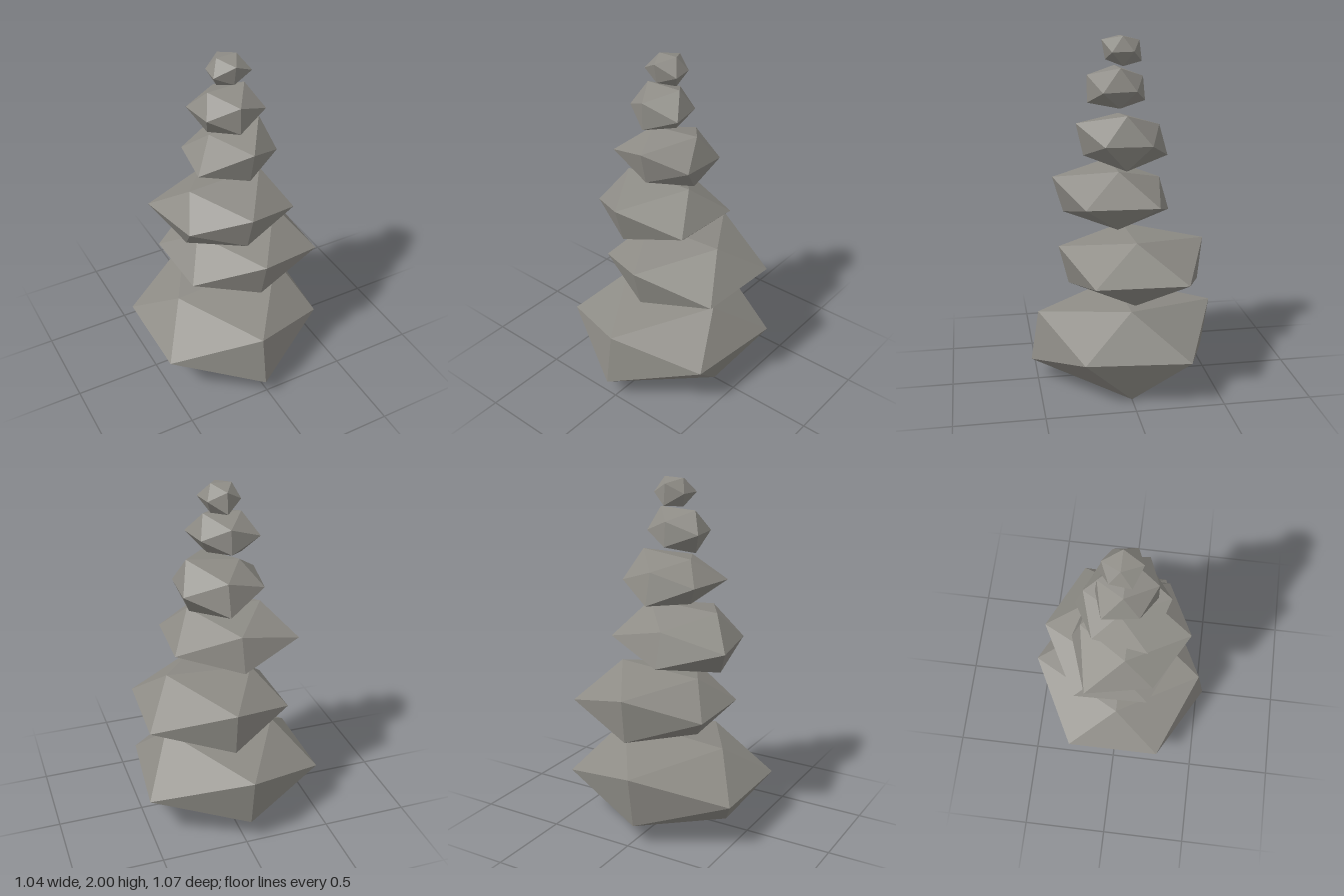
import * as THREE from 'three';

// Icosahedron corner directions and faces
const T = (1 + Math.sqrt(5)) / 2;
const CORNERS = [
  [-1, T, 0], [1, T, 0], [-1, -T, 0], [1, -T, 0],
  [0, -1, T], [0, 1, T], [0, -1, -T], [0, 1, -T],
  [T, 0, -1], [T, 0, 1], [-T, 0, -1], [-T, 0, 1],
].map((c) => new THREE.Vector3(...c).normalize());
const FACES = [
  0, 11, 5, 0, 5, 1, 0, 1, 7, 0, 7, 10, 0, 10, 11,
  1, 5, 9, 5, 11, 4, 11, 10, 2, 10, 7, 6, 7, 1, 8,
  3, 9, 4, 3, 4, 2, 3, 2, 6, 3, 6, 8, 3, 8, 9,
  4, 9, 5, 2, 4, 11, 6, 2, 10, 8, 6, 7, 9, 8, 1,
];

// Stones from bottom to top: centre, radii, and how far each corner is pushed in or out
const STONES = [
  { at: [-0.03, 0.27, 0], radii: [0.595, 0.255, 0.54],
    push: [0.96, 1.16, 1.06, 1.24, 1.165, 1.065, 1.065, 1.165, 1.08, 0.965, 0.97, 0.97] },
  { at: [0.05, 0.715, -0.03], radii: [0.5, 0.225, 0.47],
    push: [0.88, 1.05, 0.88, 0.915, 0.865, 1, 1.025, 1.09, 1.05, 1, 0.895, 0.87] },
  { at: [-0.055, 1.1, 0.045], radii: [0.4, 0.195, 0.37],
    push: [0.97, 1.1, 1.1, 0.95, 0.905, 1.095, 1.05, 0.87, 1.07, 1.01, 1.07, 0.85] },
  { at: [0.02, 1.43, 0], radii: [0.29, 0.168, 0.275],
    push: [0.88, 1.12, 0.88, 1.03, 0.94, 1.11, 1.11, 0.9, 0.92, 0.875, 0.95, 1.14] },
  { at: [-0.025, 1.71, 0.02], radii: [0.2, 0.135, 0.185],
    push: [1, 1.07, 1.04, 0.87, 1.08, 1.08, 1, 0.92, 0.88, 1.09, 1.06, 0.91] },
  { at: [-0.01, 1.92, 0], radii: [0.12, 0.1, 0.115],
    push: [0.9, 0.95, 0.9, 0.95, 0.92, 1.12, 1.17, 1.03, 0.93, 1.13, 0.9, 1.03] },
];

// Flattened icosahedron with each corner moved along its own direction
function stoneGeometry(radii, push) {
  const scale = new THREE.Vector3(...radii);
  const points = CORNERS.map((c, i) => c.clone().multiply(scale).multiplyScalar(push[i]));
  const geometry = new THREE.BufferGeometry().setFromPoints(FACES.map((i) => points[i]));
  geometry.computeVertexNormals();
  return geometry;
}

export function createModel() {
  const model = new THREE.Group();
  model.name = 'stoneCairn';
  const stoneGrey = new THREE.MeshStandardMaterial({ color: 0x8e8c86, flatShading: true });
  stoneGrey.name = 'stoneGrey';

  STONES.forEach(({ at, radii, push }, i) => {
    const stone = new THREE.Mesh(stoneGeometry(radii, push), stoneGrey);
    stone.name = `stone${i + 1}`;
    stone.position.set(...at);
    model.add(stone);
  });
  return model;
}
